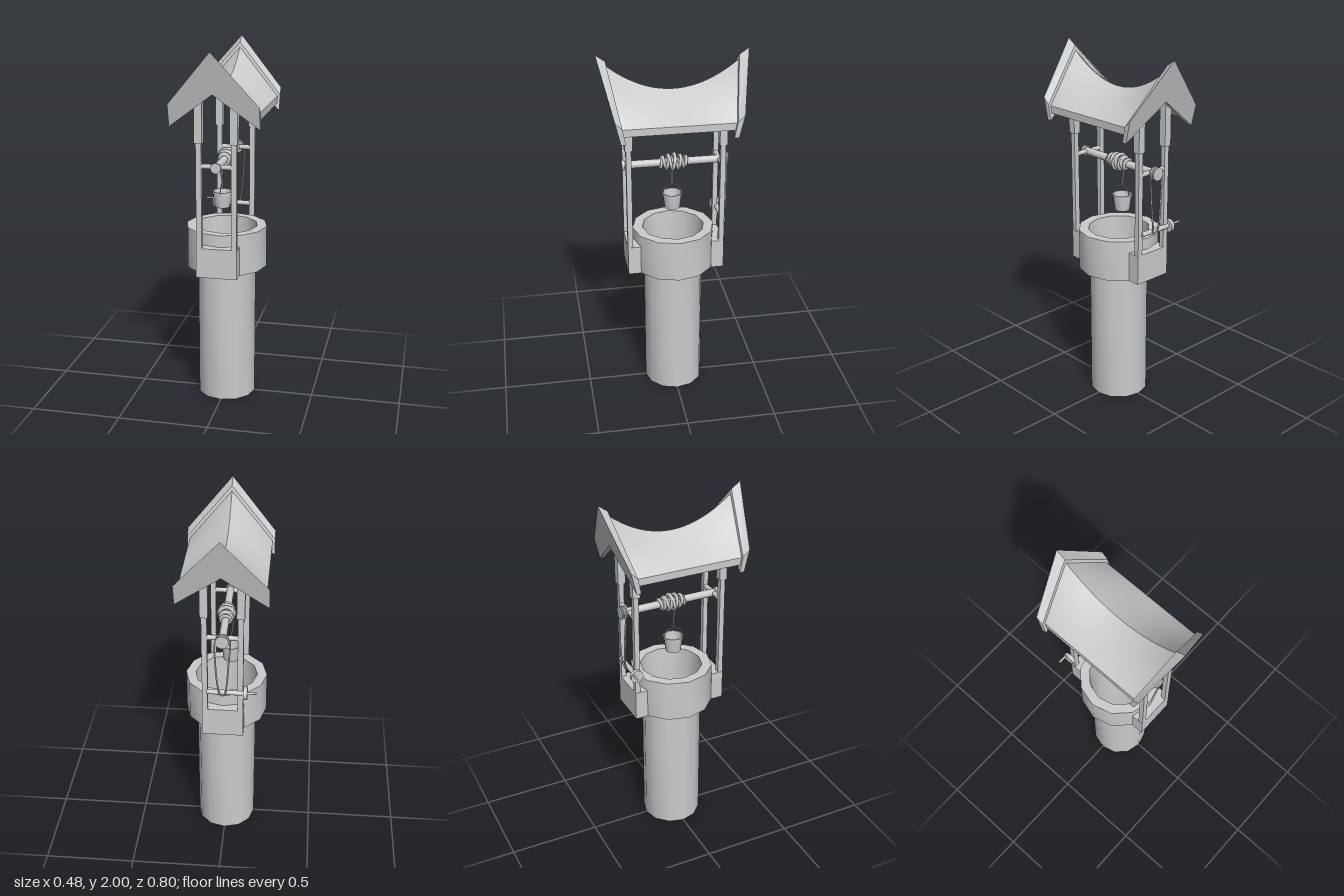
import * as THREE from 'three';
import { toCreasedNormals } from 'three/addons/utils/BufferGeometryUtils.js';

const material = new THREE.MeshStandardMaterial({ color: 0xcccccc });
const thinMaterial = new THREE.MeshStandardMaterial({ color: 0xcccccc, side: THREE.DoubleSide });
const V = (x, y, z) => new THREE.Vector3(x, y, z);

export function createModel() {
  const group = new THREE.Group();

  const add = (name, geometry, x = 0, y = 0, z = 0, mat = material) => {
    const mesh = new THREE.Mesh(geometry, mat);
    mesh.name = name;
    mesh.position.set(x, y, z);
    group.add(mesh);
    return mesh;
  };
  // box given by its lower and upper corner
  const box = (name, a, b) => add(name, new THREE.BoxGeometry(b[0] - a[0], b[1] - a[1], b[2] - a[2]),
    (a[0] + b[0]) / 2, (a[1] + b[1]) / 2, (a[2] + b[2]) / 2);
  // round bar between two points
  const rod = (name, a, b, r, sides = 12) => {
    const mesh = add(name, new THREE.CylinderGeometry(r, r, a.distanceTo(b), sides));
    mesh.position.copy(a).add(b).multiplyScalar(0.5);
    mesh.quaternion.setFromUnitVectors(V(0, 1, 0), b.clone().sub(a).normalize());
    return mesh;
  };
  const lathe = (points, sides) => toCreasedNormals(
    new THREE.LatheGeometry(points.map(p => new THREE.Vector2(...p)), sides), 0.7);
  const rope = (name, points, r, closed = false) => add(name,
    new THREE.TubeGeometry(new THREE.CatmullRomCurve3(points, closed), 40, r, 6, closed));

  // Hollow shaft with its thicker rim
  add('wellShaft', lathe([[0, 0], [0.165, 0], [0.165, 0.77], [0.226, 0.77], [0.226, 1],
    [0.172, 1], [0.16, 0.77], [0.16, 0.01], [0, 0.01]], 12));

  // Foot blocks, posts, post sleeves and axle bearers at both ends
  for (const s of [1, -1]) {
    const zSpan = (a, b) => (s > 0 ? [a, b] : [-b, -a]);
    const [f0, f1] = zSpan(0.197, 0.267);
    box('footBlock', [-0.112, 0.77, f0], [0.112, 0.935, f1]);
    for (const side of [1, -1]) {
      const [p0, p1] = zSpan(0.239, 0.267);
      const [q0, q1] = zSpan(0.232, 0.274);
      const x = side * 0.095;
      box('post', [x - 0.015, 0.93, p0], [x + 0.015, 1.6, p1]);
      box('postSleeve', [x - 0.021, 1.51, q0], [x + 0.021, 1.755, q1]);
    }
    rod('axleBearer', V(-0.085, 1.385, s * 0.253), V(0.085, 1.385, s * 0.253), 0.014, 8);
  }

  // Sagging roof: straight eaves and a ridge that rises to both ends
  const roof = new THREE.BoxGeometry(2, 1, 2, 8, 1, 20);
  const rp = roof.attributes.position;
  for (let i = 0; i < rp.count; i++) {
    const u = rp.getX(i), w = rp.getZ(i), a = Math.abs(u);
    const ridge = 1.8 + 0.14 * w * w;
    const y = ridge * (1 - a) + 1.677 * a - (rp.getY(i) < 0 ? 0.04 : 0);
    rp.setXYZ(i, 0.226 * u, y, w * (0.347 - 0.05 * a));
  }
  add('roof', toCreasedNormals(roof, 0.4));

  // Chevron gable boards leaning outward
  const chevron = new THREE.Shape([[0, 2], [-0.24, 1.72], [-0.24, 1.6], [0, 1.78], [0.24, 1.6], [0.24, 1.72]]
    .map(p => new THREE.Vector2(...p)));
  const gable = new THREE.ExtrudeGeometry(chevron, { depth: 1, bevelEnabled: false });
  const gp = gable.attributes.position;
  for (let i = 0; i < gp.count; i++) {
    const x = Math.abs(gp.getX(i)), y = gp.getY(i);
    if (gp.getZ(i) > 0.5) gp.setZ(i, 0.4 - 0.2375 * (2 - y));
    else {
      const top = y > 1.99 - 1.1667 * x;
      const yi = top ? y - 0.035 : y;
      gp.setXYZ(i, gp.getX(i), yi, 0.28 + 0.19 * (yi - 1.6));
    }
  }
  gable.computeVertexNormals();
  add('frontGable', gable);
  add('backGable', gable).rotation.y = Math.PI;

  // Windlass axle with end cap and drive pulley
  const axleY = 1.383;
  rod('axle', V(0, axleY, -0.29), V(0, axleY, 0.27), 0.021, 16);
  rod('axleCap', V(0, axleY, 0.264), V(0, axleY, 0.28), 0.028, 16);
  const pulley = add('pulley', lathe([[0, -0.016], [0.036, -0.016], [0.036, -0.01], [0.026, -0.003],
    [0.026, 0.003], [0.036, 0.01], [0.036, 0.016], [0, 0.016]], 20), 0, axleY, -0.284);
  pulley.rotation.x = Math.PI / 2;

  // Rope wound on the axle, thickest in the middle
  for (let i = -4; i <= 4; i++) {
    const r = 0.045 - 0.0045 * Math.abs(i);
    const ring = add('ropeCoil', new THREE.TorusGeometry(r, 0.009, 6, 20), 0, axleY, i * 0.0165);
    ring.rotation.x = i % 2 ? 0.2 : -0.2;
  }

  // Hanging rope and bucket with its bail
  const bx = -0.025;
  rope('bucketRope', [V(-0.042, axleY, 0), V(-0.036, 1.32, 0), V(bx, 1.238, 0)], 0.005);
  add('bucket', lathe([[0, 1.1], [0.042, 1.1], [0.052, 1.178], [0.056, 1.178], [0.056, 1.19],
    [0.05, 1.19], [0.038, 1.108], [0, 1.108]], 16), bx, 0, 0, thinMaterial);
  const bail = add('bucketBail', new THREE.TorusGeometry(0.055, 0.003, 6, 20, Math.PI), bx, 1.183, 0);
  bail.rotation.y = Math.PI / 2;

  // Crank shaft across the back posts with wheel and handle
  const crankY = 1.052, crankZ = -0.265;
  rod('crankShaft', V(-0.13, crankY, crankZ), V(0.085, crankY, crankZ), 0.014, 10);
  rod('crankWheel', V(-0.133, crankY, crankZ), V(-0.112, crankY, crankZ), 0.036, 16);
  rod('crankHandle', V(-0.182, crankY + 0.014, -0.285), V(-0.13, crankY + 0.014, -0.285), 0.006, 8);

  // Drive rope looping from the pulley down around the crank shaft
  rope('driveRope', [V(0, axleY + 0.034, -0.284), V(0.034, axleY, -0.284), V(0.036, 1.25, -0.288),
    V(0.02, 1.08, -0.286), V(0.008, 1.036, -0.274), V(-0.008, 1.036, -0.274),
    V(-0.02, 1.08, -0.286), V(-0.034, 1.25, -0.288), V(-0.036, axleY, -0.284)], 0.005, true);

  return group;
}
